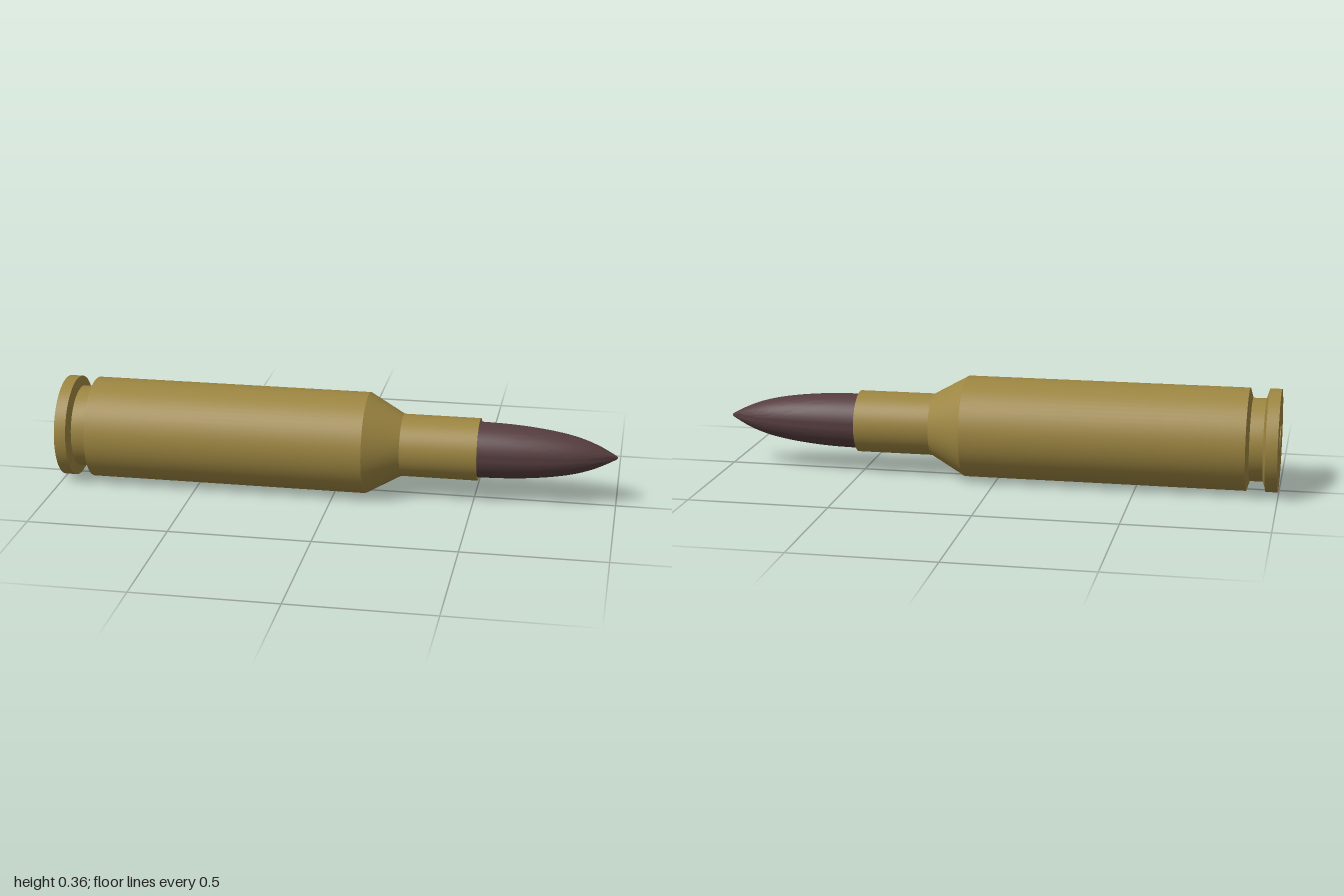
import * as THREE from 'three';
import { toCreasedNormals } from 'three/addons/utils/BufferGeometryUtils.js';

const R = 0.181;
const SEGMENTS = 64;

// Turned part: profile of [x along the axis, radius], running from the base to the tip
function turned(name, profile, color, crease) {
  const points = profile.map(([x, r]) => new THREE.Vector2(r, x));
  const geometry = toCreasedNormals(new THREE.LatheGeometry(points, SEGMENTS), crease);
  geometry.rotateZ(-Math.PI / 2);
  geometry.translate(0, R, 0);
  const mesh = new THREE.Mesh(geometry, new THREE.MeshStandardMaterial({ color }));
  mesh.name = name;
  return mesh;
}

export function createModel() {
  const brass = 0x9c8541;
  const copper = 0x563d3f;
  const group = new THREE.Group();
  group.name = 'cartridge';

  // Case: rim, extractor groove, body, shoulder, neck and open mouth
  group.add(turned('case', [
    [-0.997, 0], [-0.997, R],
    [-0.955, R], [-0.945, 0.146],
    [-0.898, 0.146], [-0.887, R],
    [0.115, R], [0.24, 0.111],
    [0.513, 0.111], [0.513, 0.103], [0.44, 0.103], [0.44, 0],
  ], brass, 0.3));

  // Primer set in the middle of the base
  group.add(turned('primer', [
    [-1, 0], [-1, 0.052], [-0.99, 0.052],
  ], brass, 0.3));

  // Bullet: straight shank and a curved ogive
  const ogive = new THREE.SplineCurve([
    [0.51, 0.099], [0.62, 0.096], [0.72, 0.088], [0.81, 0.075],
    [0.88, 0.058], [0.94, 0.035], [0.992, 0.008],
  ].map(([x, r]) => new THREE.Vector2(x, r))).getPoints(24).map((p) => [p.x, p.y]);
  group.add(turned('bullet', [[0.43, 0.099], ...ogive, [0.998, 0.004], [1, 0]], copper, 0.7));

  return group;
}
